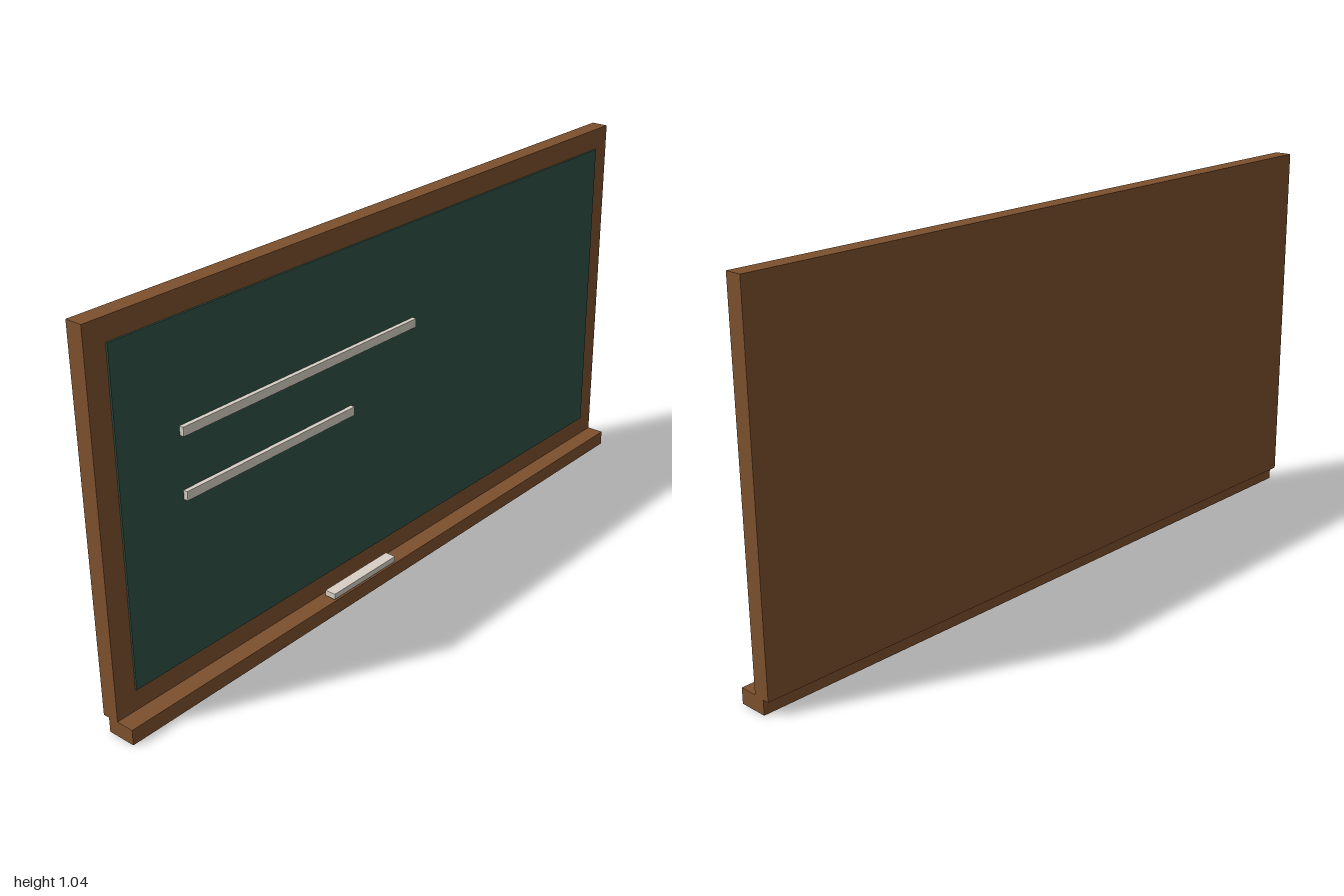
import * as THREE from 'three';

export function createModel() {
  const group = new THREE.Group();
  const material = (name, color) => {
    const m = new THREE.MeshStandardMaterial({ color });
    m.name = name;
    return m;
  };
  const wood = material('wood', 0x7d512d);
  const slate = material('green slate', 0x2f5144);
  const chalk = material('chalk', 0xd8d0c6);

  // Adds a box given by its extents along each axis
  const box = (name, mat, [x0, x1], [y0, y1], [z0, z1]) => {
    const mesh = new THREE.Mesh(new THREE.BoxGeometry(x1 - x0, y1 - y0, z1 - z0), mat);
    mesh.position.set((x0 + x1) / 2, (y0 + y1) / 2, (z0 + z1) / 2);
    mesh.name = name;
    group.add(mesh);
  };

  // Wooden backing, whose visible margin forms the frame
  box('frame', wood, [-1, 1], [0.04, 1.038], [-0.048, 0]);

  // Writing surface, standing slightly proud of the frame
  box('writingSurface', slate, [-0.94, 0.94], [0.1, 0.979], [-0.004, 0.005]);

  // Ledge along the bottom
  box('chalkLedge', wood, [-1, 1], [0, 0.042], [-0.03, 0.05]);

  // Two chalk strokes on the board
  box('upperChalkLine', chalk, [-0.755, 0.08], [0.692, 0.716], [0.004, 0.017]);
  box('lowerChalkLine', chalk, [-0.755, -0.17], [0.528, 0.552], [0.004, 0.017]);

  // Stick of chalk at the ledge
  box('chalkStick', chalk, [-0.295, -0.047], [0.048, 0.064], [0.018, 0.05]);

  return group;
}
